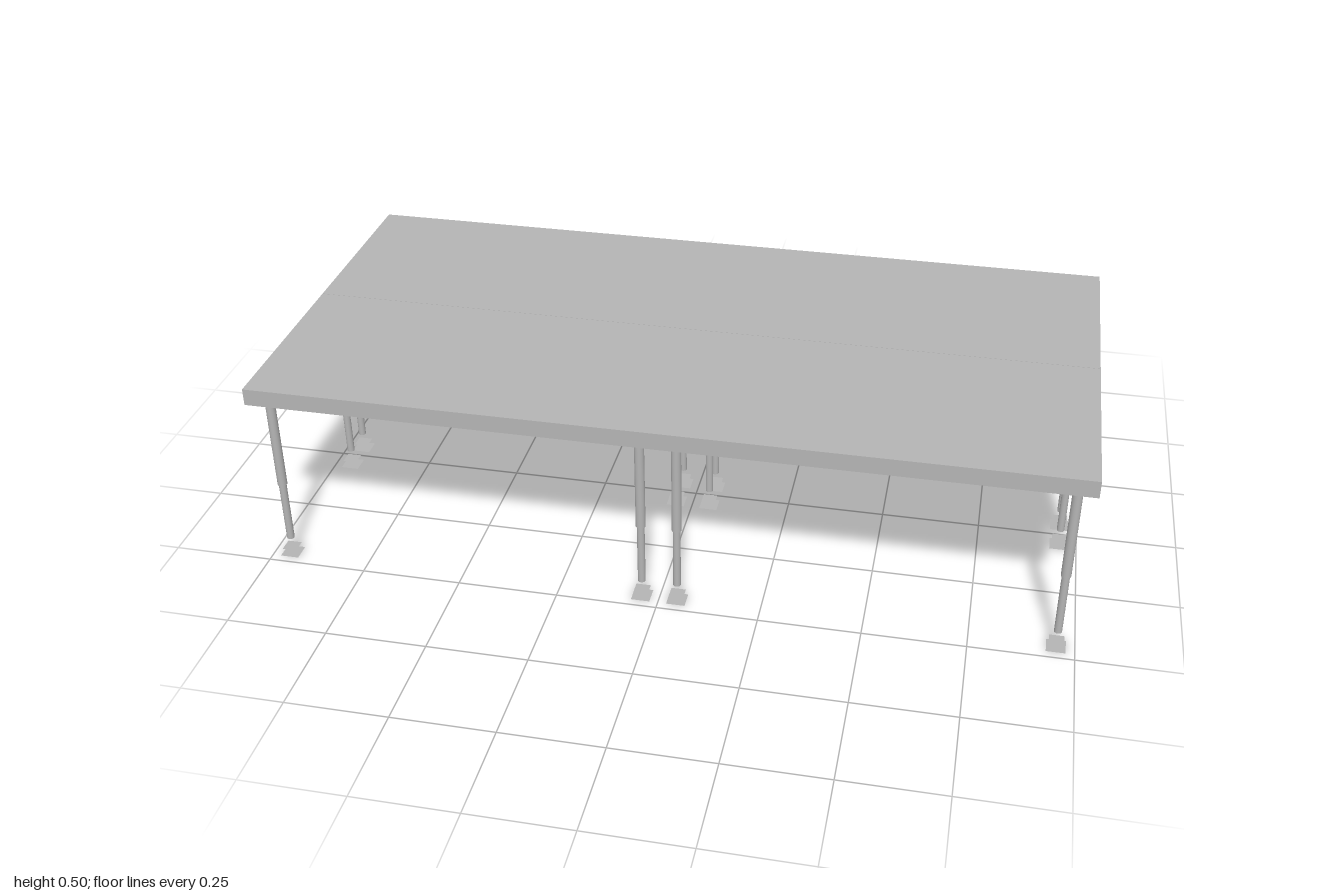
import * as THREE from 'three';

const metal = new THREE.MeshStandardMaterial({ color: 0xb4b4b4, side: THREE.DoubleSide });
metal.name = 'grey metal';

function add(parent, name, geometry, x, y, z) {
  const mesh = new THREE.Mesh(geometry, metal);
  mesh.name = name;
  mesh.position.set(x, y, z);
  parent.add(mesh);
  return mesh;
}

const box = (w, h, d) => new THREE.BoxGeometry(w, h, d);
const sheet = (w, d) => new THREE.PlaneGeometry(w, d).rotateX(-Math.PI / 2);

// Telescopic leg with a mounting bracket and a thin sheet foot
function createLeg(x, z) {
  const leg = new THREE.Group();
  leg.name = 'leg';
  leg.position.set(x, 0, z);
  add(leg, 'outerTube', new THREE.CylinderGeometry(0.012, 0.012, 0.265, 16), 0, 0.34, 0);
  add(leg, 'innerTube', new THREE.CylinderGeometry(0.0095, 0.0095, 0.165, 16), 0, 0.1275, 0);
  add(leg, 'bracket', box(0.02, 0.036, 0.042), 0, 0.467, 0.006);
  add(leg, 'bracketPlate', sheet(0.06, 0.042), 0, 0.45, 0.006);
  add(leg, 'footTop', sheet(0.036, 0.036), 0, 0.018, 0);
  add(leg, 'footBase', sheet(0.046, 0.046), 0, 0, 0);
  return leg;
}

// One platform: top panel, perimeter frame, cross bars and four legs
function createPlatform(cx, cz) {
  const platform = new THREE.Group();
  platform.name = 'platform';
  platform.position.set(cx, 0, cz);
  const W = 1, D = 0.499, T = 0.014;
  add(platform, 'panel', box(W, 0.014, D), 0, 0.493, 0);
  for (const s of [-1, 1]) {
    add(platform, 'longRail', box(W, 0.029, T), 0, 0.4715, s * (D - T) / 2);
    add(platform, 'shortRail', box(T, 0.029, D - 2 * T), s * (W - T) / 2, 0.4715, 0);
    for (const t of [-1, 1]) platform.add(createLeg(s * 0.456, t * 0.207));
  }
  for (const x of [-0.25, 0, 0.25]) {
    add(platform, 'crossBar', box(0.012, 0.022, D - 2 * T), x, 0.475, 0);
  }
  return platform;
}

export function createModel() {
  const model = new THREE.Group();
  model.name = 'stage';
  for (const x of [-0.5, 0.5]) {
    for (const z of [-0.25, 0.25]) model.add(createPlatform(x, z));
  }
  return model;
}
